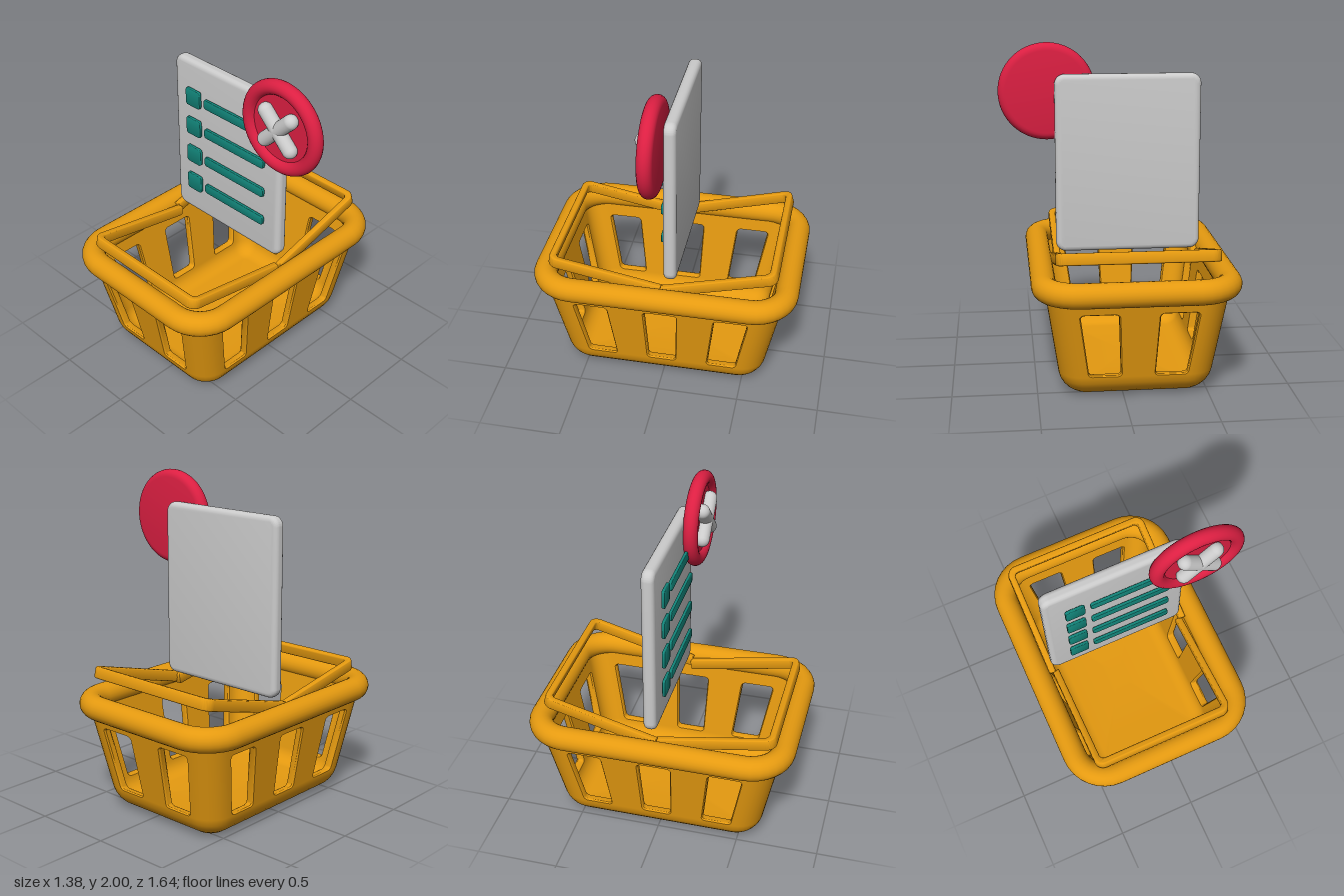
import * as THREE from 'three';
import { toCreasedNormals } from 'three/addons/utils/BufferGeometryUtils.js';

const mat = (color) => new THREE.MeshStandardMaterial({ color });
const ORANGE = mat(0xe59a10), RED = mat(0xdc1f42), TEAL = mat(0x12857a), GREY = mat(0xcccccc);
const V = (x, y, z) => new THREE.Vector3(x, y, z);

function part(parent, name, geometry, material, x = 0, y = 0, z = 0) {
  const mesh = new THREE.Mesh(geometry, material);
  mesh.name = name;
  mesh.position.set(x, y, z);
  parent.add(mesh);
  return mesh;
}

// Horizontal rounded rectangle; sideMarks are fractions along the straight sides
const ARC = 8;
function ring(a, b, r, y, marks = [[], []]) {
  const pts = [];
  for (let k = 0; k < 4; k++) {
    const c = Math.round(Math.cos(k * Math.PI / 2)), s = Math.round(Math.sin(k * Math.PI / 2));
    const [hn, ht] = k % 2 ? [b, a] : [a, b];
    const at = (n, t) => pts.push(V(n * c - t * s, y, n * s + t * c));
    marks[k % 2].forEach((f) => at(hn, f * (ht - r)));
    for (let i = 0; i <= ARC; i++) {
      const q = i / ARC * Math.PI / 2;
      at(hn - r + r * Math.cos(q), ht - r + r * Math.sin(q));
    }
  }
  return pts;
}

// Joins closed loops of points with quads, leaving out cells where skip(i, j) is true
function join(loops, out, skip = () => false) {
  for (let i = 0; i < loops.length - 1; i++) {
    const n = loops[i].length;
    for (let j = 0; j < n; j++) {
      if (skip(i, j)) continue;
      const k = (j + 1) % n;
      const a = loops[i][j], b = loops[i + 1][j], c = loops[i + 1][k], d = loops[i][k];
      out.push(a, b, c, a, c, d);
    }
  }
}
const solid = (pts, crease = 0.55) => toCreasedNormals(new THREE.BufferGeometry().setFromPoints(pts), crease);

// Rounded window opening through a wall cell (4 outer + 4 inner corners)
function windowFrame(outer, inner, out) {
  const on = ([p00, p10, p11, p01], u, v) =>
    p00.clone().lerp(p10, u).lerp(p01.clone().lerp(p11, u), v);
  const w = outer[0].distanceTo(outer[1]), h = outer[0].distanceTo(outer[3]);
  const loop = ([inset, r, depth]) => {
    const pts = [];
    for (let k = 0; k < 4; k++) for (let i = 0; i <= 5; i++) {
      const q = (k + i / 5) * Math.PI / 2;
      const sx = k === 0 || k === 3 ? 1 : -1, sy = k < 2 ? 1 : -1;
      const u = 0.5 + (sx * (w / 2 - inset - r) + r * Math.cos(q)) / w;
      const v = 0.5 + (sy * (h / 2 - inset - r) + r * Math.sin(q)) / h;
      pts.push(on(outer, u, v).lerp(on(inner, u, v), depth));
    }
    return pts;
  };
  join([[0, 0, 0], [0.002, 0.025, 0], [0.008, 0.02, 0.2],
    [0.008, 0.02, 0.8], [0.002, 0.025, 1], [0, 0, 1]].map(loop), out);
}

// Tapered basket shell with floor, walls and windows
function basketBody() {
  const marks = [[-0.961, -0.573, -0.194, 0.194, 0.573, 0.961], [-0.955, -0.3, 0.3, 0.955]];
  const level = (y, inset, thick) =>
    ring(0.435 + 0.15 * y - inset - thick, 0.61 + 0.2 * y - inset - thick, 0.15 - thick - inset, y, marks);
  const shell = (floor, fillet, thick) => {
    const rows = [];
    for (let i = 0; i <= 6; i++) {
      const q = i / 6 * Math.PI / 2;
      rows.push(level(floor + fillet * (1 - Math.cos(q)), fillet * (1 - Math.sin(q)), thick));
    }
    [0.14, 0.55, 0.67].forEach((y) => rows.push(level(y, 0, thick)));
    return [rows[0].map(() => V(0, floor, 0)), ...rows];
  };
  const outer = shell(0, 0.13, 0), inner = shell(0.05, 0.08, 0.05);
  const loops = [...outer, ...inner.slice().reverse()];

  // Columns where a window starts: every other gap between the marks of a side
  const starts = new Set();
  let col = 0;
  for (let k = 0; k < 4; k++) {
    const m = marks[k % 2].length;
    for (let i = 0; i < m; i += 2) starts.add(col + i);
    col += m + ARC + 1;
  }
  const row = 8, pts = [];
  join(loops, pts, (i, j) => starts.has(j) && (i === row - 1 + 1 || i === loops.length - 2 - row));
  starts.forEach((j) => {
    const cell = (s) => [s[row][j], s[row][j + 1], s[row + 1][j + 1], s[row + 1][j]];
    windowFrame(cell(outer), cell(inner), pts);
  });
  return solid(pts);
}

// Thick round rim following the basket mouth
function basketRim() {
  const loops = [], pts = [], r = 0.073;
  for (let i = 0; i <= 24; i++) {
    const q = i / 24 * Math.PI * 2, d = r * Math.cos(q);
    loops.push(ring(0.537 + d, 0.747 + d, 0.2 + d, 0.672 + r * Math.sin(q)));
  }
  join(loops, pts);
  return solid(pts);
}

function extrude(shape, depth, bevel) {
  const g = new THREE.ExtrudeGeometry(shape, {
    depth: depth - 2 * bevel, bevelThickness: bevel, bevelSize: bevel, bevelOffset: -bevel,
    bevelSegments: 4, curveSegments: 8,
  });
  g.translate(0, 0, bevel - depth / 2);
  return toCreasedNormals(g, 0.6);
}

// Rounded upright slab centred on the origin
function slab(w, h, depth, r, bevel) {
  const s = new THREE.Shape(), x = w / 2, y = h / 2, H = Math.PI / 2;
  s.absarc(x - r, y - r, r, 0, H);
  s.absarc(r - x, y - r, r, H, 2 * H);
  s.absarc(r - x, r - y, r, 2 * H, 3 * H);
  s.absarc(x - r, r - y, r, 3 * H, 4 * H);
  return extrude(s, depth, bevel);
}

// U-shaped carrying handle, hinged at the origin
function handleBar(half, length) {
  const s = new THREE.Shape(), t = 0.042, r = 0.06, H = Math.PI / 2, q = r - t + 0.01;
  s.moveTo(half - t, 0);
  s.lineTo(half, 0);
  s.absarc(half - r, length - r, r, 0, H);
  s.absarc(r - half, length - r, r, H, 2 * H);
  s.lineTo(-half, 0);
  s.lineTo(t - half, 0);
  s.absarc(t + q - half, length - t - q, q, 2 * H, H, true);
  s.absarc(half - t - q, length - t - q, q, H, 0, true);
  return extrude(s, 0.07, 0.012);
}

export function createModel() {
  const model = new THREE.Group();
  model.name = 'basketWithList';

  // Basket
  const basket = new THREE.Group();
  basket.name = 'basket';
  basket.position.x = -0.08;
  model.add(basket);
  part(basket, 'basketBody', basketBody(), ORANGE);
  part(basket, 'basketRim', basketRim(), ORANGE);
  part(basket, 'frontHandle', handleBar(0.45, 0.722), ORANGE, 0, 0.668, 0)
    .rotation.x = Math.PI / 2 - 0.177;
  part(basket, 'backHandle', handleBar(0.472, 0.718), ORANGE, 0, 0.682, 0)
    .rotation.x = -(Math.PI / 2 - 0.265);

  // List sheet with four rows
  const sheet = new THREE.Group();
  sheet.name = 'listSheet';
  model.add(sheet);
  part(sheet, 'paper', slab(0.88, 1.08, 0.078, 0.06, 0.03), GREY, -0.082, 1.28, -0.044);
  for (let i = 0; i < 4; i++) {
    const y = 0.98 + i * 0.203;
    part(sheet, 'checkBox', slab(0.12, 0.117, 0.02, 0.018, 0.005), TEAL, -0.34, y, 0.015);
    part(sheet, 'listLine', slab(0.495, 0.064, 0.02, 0.018, 0.005), TEAL, 0.002, y, 0.015);
  }

  // Round badge with a raised edge and a cross
  const badge = new THREE.Group();
  badge.name = 'badge';
  badge.position.set(0.4, 1.71, 0.032);
  model.add(badge);
  const profile = [new THREE.Vector2(0, -0.045)];
  for (let i = 0; i <= 14; i++) {
    const q = -Math.PI / 2 + i / 14 * Math.PI * 1.4;
    profile.push(new THREE.Vector2(0.247 + 0.045 * Math.cos(q), 0.045 * Math.sin(q)));
  }
  profile.push(new THREE.Vector2(0.218, 0.012), new THREE.Vector2(0, 0.012));
  const disc = toCreasedNormals(new THREE.LatheGeometry(profile, 64), 0.5);
  part(badge, 'badgeDisc', disc.rotateX(Math.PI / 2), RED);
  for (const side of [-1, 1]) {
    part(badge, 'crossBar', new THREE.CapsuleGeometry(0.045, 0.265, 8, 20), GREY, 0, 0, 0.037)
      .rotation.z = side * Math.PI / 4;
  }
  return model;
}
